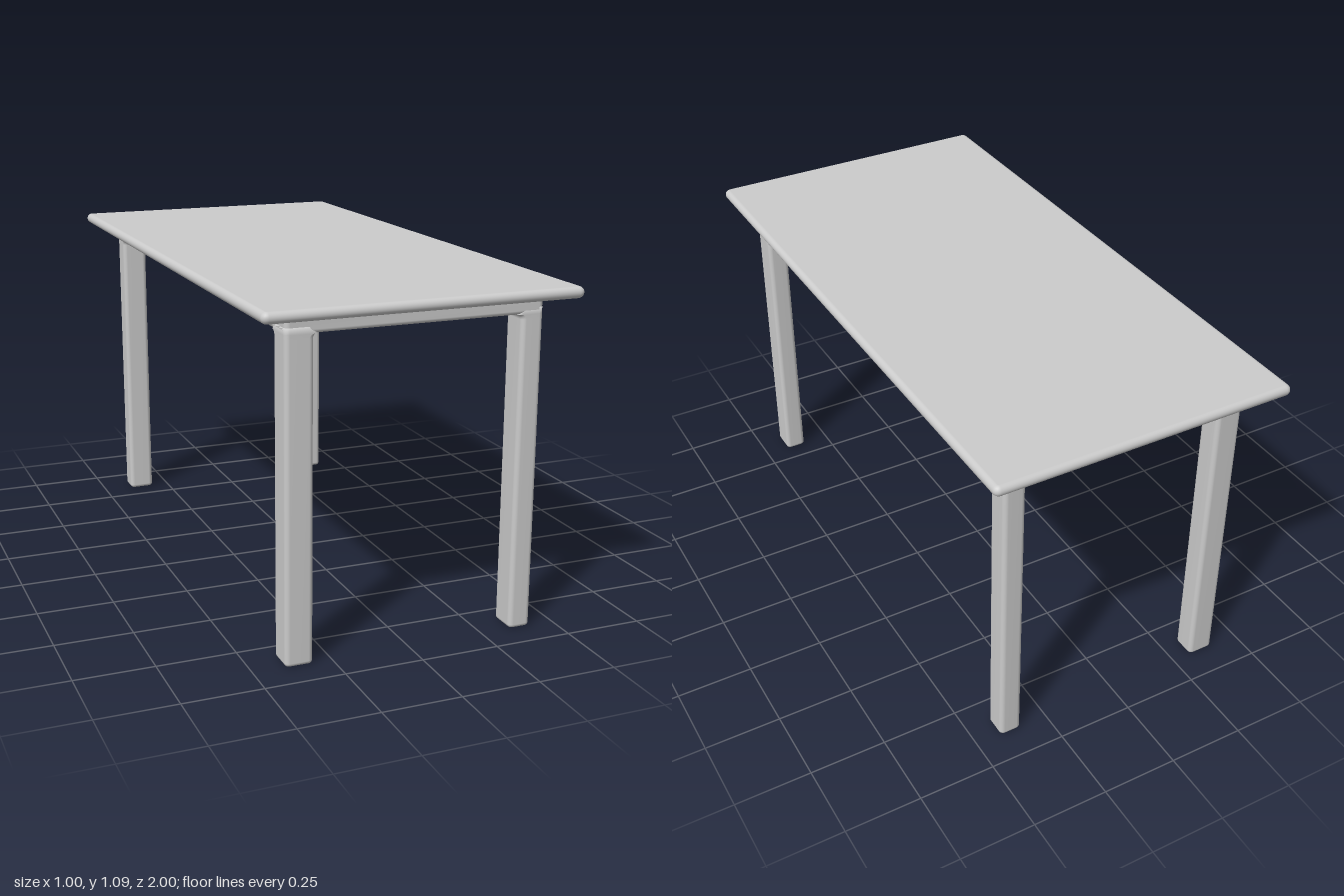
import * as THREE from 'three';

const material = new THREE.MeshStandardMaterial({ color: 0xcccccc });
const CORNER_STEPS = 5;

// Rounded rectangle outline at height y; rect = [x0, x1, z0, z1]
function outline([x0, x1, z0, z1], r, y) {
  const points = [];
  const centres = [[x1 - r, z1 - r], [x0 + r, z1 - r], [x0 + r, z0 + r], [x1 - r, z0 + r]];
  centres.forEach(([cx, cz], q) => {
    for (let i = 0; i <= CORNER_STEPS; i++) {
      const a = (q + i / CORNER_STEPS) * Math.PI / 2;
      points.push([cx + r * Math.cos(a), y, cz + r * Math.sin(a)]);
    }
  });
  return points;
}

const grow = ([x0, x1, z0, z1], d) => [x0 - d, x1 + d, z0 - d, z1 + d];

// Joins outlines into a skin, optionally closed at both ends
function loft(name, sections, capped) {
  const rings = sections.map(s => outline(s.rect, s.r, s.y));
  const n = rings[0].length;
  const positions = rings.flat(2);
  const index = [];
  for (let s = 0; s < rings.length - 1; s++) {
    for (let i = 0; i < n; i++) {
      const j = (i + 1) % n;
      const a = s * n + i, b = s * n + j;
      index.push(a, a + n, b, b, a + n, b + n);
    }
  }
  if (capped) {
    [0, rings.length - 1].forEach((s, end) => {
      const [x0, x1, z0, z1] = sections[s].rect;
      const c = positions.length / 3;
      positions.push((x0 + x1) / 2, sections[s].y, (z0 + z1) / 2);
      for (let i = 0; i < n; i++) {
        const a = s * n + i, b = s * n + (i + 1) % n;
        if (end) index.push(c, b, a);
        else index.push(c, a, b);
      }
    });
  }
  const geometry = new THREE.BufferGeometry();
  geometry.setAttribute('position', new THREE.Float32BufferAttribute(positions, 3));
  geometry.setIndex(index);
  geometry.computeVertexNormals();
  const mesh = new THREE.Mesh(geometry, material);
  mesh.name = name;
  return mesh;
}

// Angles from 0 to end in equal steps
const arc = (end, steps) => Array.from({ length: steps + 1 }, (_, i) => end * i / steps);

const OUTER = [-0.40, 0.417, -0.905, 0.905];
const INNER = [-0.312, 0.345, -0.825, 0.81];
const APRON_BOTTOM = 1.0, TOP_BOTTOM = 1.055, TOP = 1.09;
const ROUND = 0.012, FILLET = 0.015;

// Slab with fully rounded edges
function tableTop() {
  const r = (TOP - TOP_BOTTOM) / 2;
  const sections = arc(Math.PI, 12).map(a => ({
    rect: grow([-0.5, 0.5, -1, 1], r * (Math.sin(a) - 1)),
    r: 0.003 + r * Math.sin(a),
    y: TOP_BOTTOM + r - r * Math.cos(a),
  }));
  return loft('tableTop', sections, true);
}

// Apron ring: rounded lower edges, concave fillets against the top
function apron() {
  const half = arc(Math.PI / 2, 5);
  const profile = [
    ...half.map(a => [ROUND * (1 - Math.sin(a)), APRON_BOTTOM + ROUND * (1 - Math.cos(a))])
      .map(([inset, y]) => [-inset, y]),
    ...half.map(a => [FILLET * (1 - Math.cos(a)), TOP_BOTTOM - FILLET + FILLET * Math.sin(a)]),
  ];
  const outer = profile.map(([d, y]) => ({ rect: grow(OUTER, d), r: 0.016 + d, y }));
  const inner = profile.map(([d, y]) => ({ rect: grow(INNER, -d), r: 0.016 - d, y })).reverse();
  return loft('apron', [...inner, ...outer], false);
}

// Square leg with a rounded foot, flaring into the apron on its inner sides
function leg(name, sx, sz) {
  const rect = [
    sx < 0 ? OUTER[0] : INNER[1], sx < 0 ? INNER[0] : OUTER[1],
    sz < 0 ? OUTER[2] : INNER[3], sz < 0 ? INNER[2] : OUTER[3],
  ];
  const flare = d => [
    rect[0] - (sx > 0 ? d : 0), rect[1] + (sx < 0 ? d : 0),
    rect[2] - (sz > 0 ? d : 0), rect[3] + (sz < 0 ? d : 0),
  ];
  const foot = arc(Math.PI / 2, 5).map(a => ({
    rect: grow(rect, -ROUND * (1 - Math.sin(a))),
    r: 0.003 + ROUND * Math.sin(a),
    y: ROUND * (1 - Math.cos(a)),
  }));
  const head = arc(Math.PI / 2, 4).map(a => ({
    rect: flare(FILLET * (1 - Math.cos(a))),
    r: 0.015,
    y: APRON_BOTTOM - FILLET + FILLET * Math.sin(a),
  }));
  const end = { rect, r: 0.015, y: APRON_BOTTOM + 0.02 };
  return loft(name, [...foot, ...head, end], true);
}

export function createModel() {
  const table = new THREE.Group();
  table.name = 'table';
  table.add(tableTop(), apron());
  for (const sx of [-1, 1]) {
    for (const sz of [-1, 1]) {
      table.add(leg((sz > 0 ? 'front' : 'back') + (sx > 0 ? 'Left' : 'Right') + 'Leg', sx, sz));
    }
  }
  return table;
}
